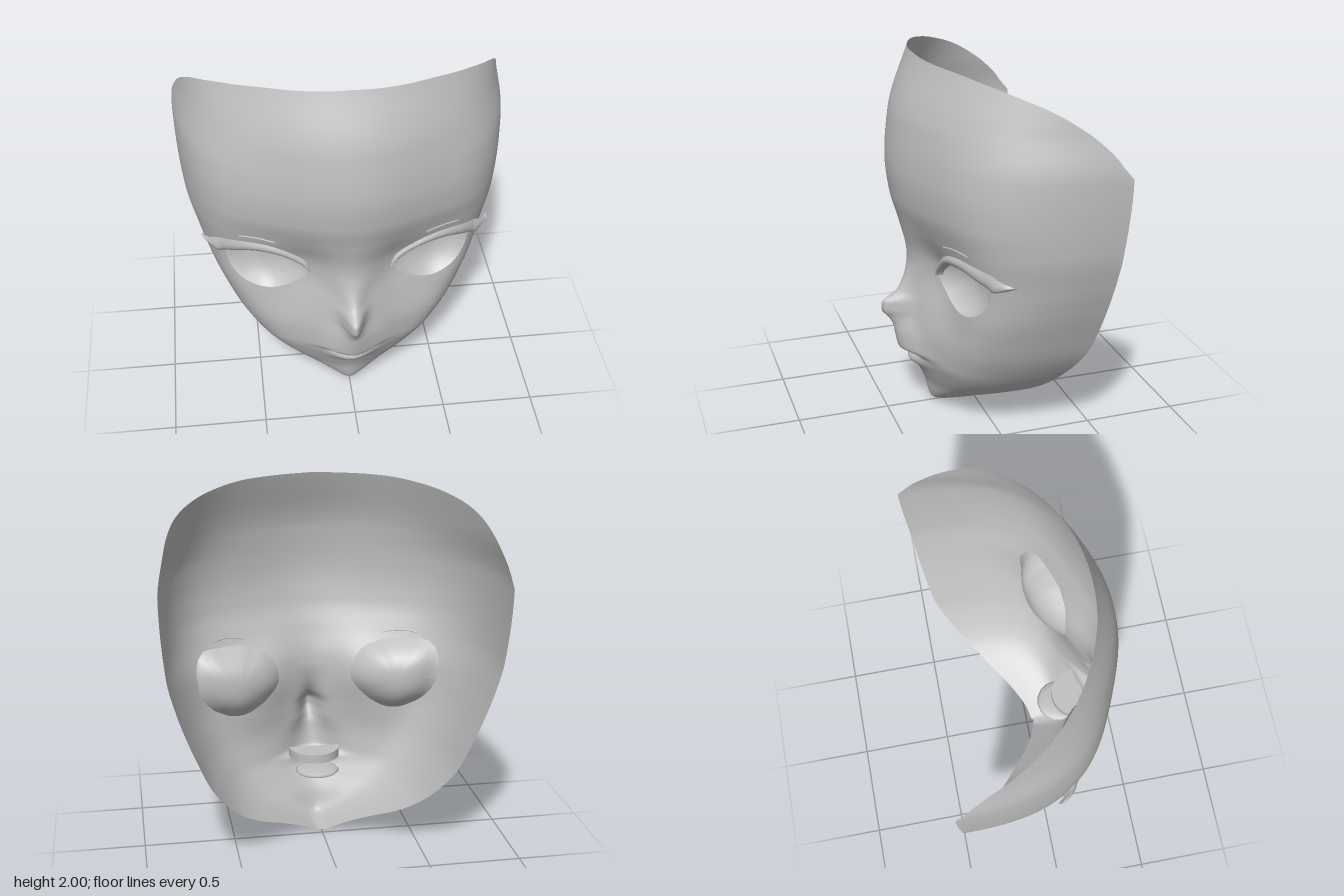
import * as THREE from 'three';

const grey = new THREE.MeshStandardMaterial({ color: 0xc0c0c0, side: THREE.DoubleSide });
grey.name = 'plain grey';

// Smooth curve through [t, value] pairs, without overshoot
function smooth(pts) {
  const n = pts.length;
  const d = pts.slice(1).map((p, i) => (p[1] - pts[i][1]) / (p[0] - pts[i][0]));
  const m = pts.map((p, i) => {
    if (i === 0) return d[0];
    if (i === n - 1) return d[n - 2];
    return d[i - 1] * d[i] <= 0 ? 0 : (2 * d[i - 1] * d[i]) / (d[i - 1] + d[i]);
  });
  return (t) => {
    t = Math.min(Math.max(t, pts[0][0]), pts[n - 1][0]);
    let i = 0;
    while (i < n - 2 && t > pts[i + 1][0]) i++;
    const h = pts[i + 1][0] - pts[i][0], s = (t - pts[i][0]) / h, r = 1 - s;
    return r * r * (1 + 2 * s) * pts[i][1] + s * s * (3 - 2 * s) * pts[i + 1][1]
      + h * s * r * (r * m[i] - s * m[i + 1]);
  };
}
const bell = (d, width) => Math.exp(-((d / width) ** 2));

// Face measurements by height: half width, rim depth, front depth, nose ridge, roundness
const halfWidth = smooth([[0, 0.02], [0.02, 0.06], [0.105, 0.225], [0.2, 0.4], [0.275, 0.495], [0.4, 0.595],
  [0.5, 0.655], [0.63, 0.71], [0.79, 0.772], [0.945, 0.822], [1.13, 0.865], [1.4, 0.887], [1.52, 0.89],
  [1.75, 0.857], [2, 0.84]]);
const rimZ = smooth([[0, 0.03], [0.03, 0.015], [0.1, -0.06], [0.2, -0.2], [0.32, -0.31], [0.45, -0.39],
  [0.56, -0.43], [0.8, -0.465], [1.1, -0.495], [1.52, -0.52], [2, -0.52]]);
const frontZ = smooth([[0, 0.04], [0.008, 0.19], [0.03, 0.245], [0.15, 0.28], [0.24, 0.32], [0.35, 0.365],
  [0.5, 0.38], [0.65, 0.37], [0.8, 0.36], [0.92, 0.366], [1.1, 0.405], [1.25, 0.443], [1.42, 0.46],
  [1.67, 0.435], [2, 0.315]]);
const ridge = smooth([[0.33, 0], [0.37, 0.06], [0.42, 0.065], [0.5, 0.075], [0.55, 0.103], [0.6, 0.145],
  [0.64, 0.148], [0.7, 0.07], [0.8, 0.025], [0.9, 0.004], [1.1, 0]]);
const ridgeWidth = smooth([[0.36, 0.14], [0.46, 0.1], [0.58, 0.055], [0.7, 0.055], [0.9, 0.1]]);
const roundness = smooth([[0, 2.5], [0.2, 2.5], [0.45, 2.7], [0.7, 2.95], [0.95, 2.7], [1.4, 2.5], [2, 2]]);
const flatten = smooth([[0, 0], [0.2, 0.03], [0.45, 0.07], [0.72, 0.1], [0.95, 0.085], [1.25, 0.055], [1.45, 0.05], [2, 0]]);
const topRim = smooth([[0, 2], [0.29, 1.985], [0.48, 1.95], [0.64, 1.9], [0.75, 1.85], [0.88, 1.75],
  [0.959, 1.64], [0.982, 1.58], [1, 1.52]]);

// Depth of the skin at any point of the face
function skinZ(x, y) {
  const t = Math.min(Math.abs(x) / halfWidth(y), 1), n = roundness(y), b = rimZ(y);
  let z = b + (frontZ(y) - b) * (1 - t ** n) ** (1 / n) - flatten(y) * Math.sin(Math.PI * t) ** 2;
  z += ridge(y) * bell(x, ridgeWidth(y));
  z -= 0.04 * bell(Math.abs(x) - 0.23, 0.13) * bell(y - 0.88, 0.18);
  z += 0.028 * bell(y - 0.285, 0.03) * bell(x, 0.1);
  z -= 0.033 * bell(y - 0.338, 0.014) * bell(x, 0.11);
  return z;
}

// Eye outline: radius by angle around the eye centre, 0 = outer corner
const EX = 0.44, EY = 0.86;
const radii = [0.205, 0.235, 0.162, 0.14, 0.145, 0.185, 0.215, 0.17, 0.145, 0.14, 0.145, 0.17];
const eyeCurve = smooth(Array.from({ length: 17 }, (_, i) => [(i - 2) * 30, radii[(i + 10) % 12]]));
const eyeRadius = (a) => eyeCurve(((a * 180 / Math.PI) % 360 + 360) % 360);

// Surface from a grid of points; keep() may leave out triangles
function gridGeometry(rows, cols, point, keep = () => true) {
  const pos = [], index = [];
  for (let i = 0; i <= rows; i++)
    for (let j = 0; j <= cols; j++) pos.push(...point(i / rows, j / cols));
  const tri = (...t) => {
    const mid = [0, 1].map((k) => t.reduce((s, v) => s + pos[v * 3 + k], 0) / 3);
    if (keep(...mid)) index.push(...t);
  };
  for (let i = 0; i < rows; i++)
    for (let j = 0; j < cols; j++) {
      const a = i * (cols + 1) + j, b = a + cols + 1;
      tri(a, a + 1, b + 1);
      tri(a, b + 1, b);
    }
  const g = new THREE.BufferGeometry();
  g.setAttribute('position', new THREE.Float32BufferAttribute(pos, 3));
  g.setIndex(index);
  g.computeVertexNormals();
  return g;
}

// Face shell with clean eye openings
function faceGeometry() {
  return gridGeometry(180, 116, (v, w) => {
    const u = w * 2 - 1;
    let y = v * topRim(Math.abs(u));
    let x = halfWidth(y) * Math.sin(u * Math.PI / 2);
    const side = Math.sign(x), dx = Math.abs(x) - EX, dy = y - EY;
    const a = Math.atan2(dy, dx), r = eyeRadius(a);
    if (Math.abs(Math.hypot(dx, dy) - r) < 0.014) {
      x = side * (EX + r * Math.cos(a));
      y = EY + r * Math.sin(a);
    }
    return [x, y, Math.abs(u) === 1 ? rimZ(y) : skinZ(x, y)];
  }, (x, y) => {
    const dx = Math.abs(x) - EX, dy = y - EY;
    return Math.hypot(dx, dy) > eyeRadius(Math.atan2(dy, dx)) * 0.995;
  });
}

// Hollow eye cup behind the opening, its edge hidden by the skin
function eyeGeometry(side) {
  return gridGeometry(10, 48, (k, w) => {
    const a = w * Math.PI * 2, r = eyeRadius(a) * k;
    const x = EX + r * Math.cos(a) * 1.1, y = EY + r * Math.sin(a) * 1.43;
    const back = 0.09 - 0.28 * (x - EX), edge = skinZ(x, y) - 0.012;
    return [side * x, y, back + (edge - back) * k ** 2.5];
  });
}

// Upper lash: thick band from the lid to a winged outer tip
function curve(pts) {
  return new THREE.SplineCurve(pts.map((p) => new THREE.Vector2(...p)));
}
const lashTop = curve([[0.213, 0.86], [0.25, 0.94], [0.385, 1.03], [0.52, 1.055], [0.665, 1.03], [0.72, 1.008], [0.775, 0.982]]);
const lashLow = curve([[0.225, 0.86], [0.26, 0.905], [0.385, 0.983], [0.52, 0.998], [0.65, 0.955], [0.7, 0.935], [0.775, 0.978]]);
function lashGeometry(side) {
  return gridGeometry(6, 36, (s, t) => {
    const p = lashTop.getPoint(t).lerp(lashLow.getPoint(t), Math.min(s * 1.2, 1));
    const tip = 0.08 * Math.max(0, (t - 0.6) / 0.4) ** 2;
    const lift = s === 1 ? -0.02 : 0.003 + 0.02 * Math.sin(Math.min(s * 1.2, 1) * Math.PI * 0.75);
    return [side * p.x, p.y, skinZ(p.x, p.y) + lift + tip];
  });
}

// Fine fold above the lid
function creaseGeometry(side) {
  const pts = [[0.4, 1.085], [0.46, 1.098], [0.52, 1.101], [0.58, 1.092]];
  const path = new THREE.CatmullRomCurve3(pts.map(([x, y]) => new THREE.Vector3(side * x, y, skinZ(x, y) + 0.003)));
  return new THREE.TubeGeometry(path, 16, 0.005, 6);
}

export function createModel() {
  const model = new THREE.Group();
  model.name = 'faceMask';
  const add = (name, geometry) => {
    const mesh = new THREE.Mesh(geometry, grey);
    mesh.name = name;
    model.add(mesh);
    return mesh;
  };
  add('faceShell', faceGeometry());
  for (const [side, label] of [[1, 'left'], [-1, 'right']]) {
    add(label + 'Eye', eyeGeometry(side));
    add(label + 'Lash', lashGeometry(side));
    add(label + 'LidCrease', creaseGeometry(side));
  }
  // Mouth interior, seen from behind
  const palate = add('palate', new THREE.CylinderGeometry(1, 1, 0.05, 12, 1, false, Math.PI / 2, Math.PI));
  palate.scale.set(0.145, 1, 0.15);
  palate.position.set(0, 0.385, 0.3);
  const lowerMouth = add('lowerMouth', new THREE.SphereGeometry(1, 16, 8));
  lowerMouth.scale.set(0.125, 0.022, 0.12);
  lowerMouth.position.set(0, 0.31, 0.185);
  return model;
}
